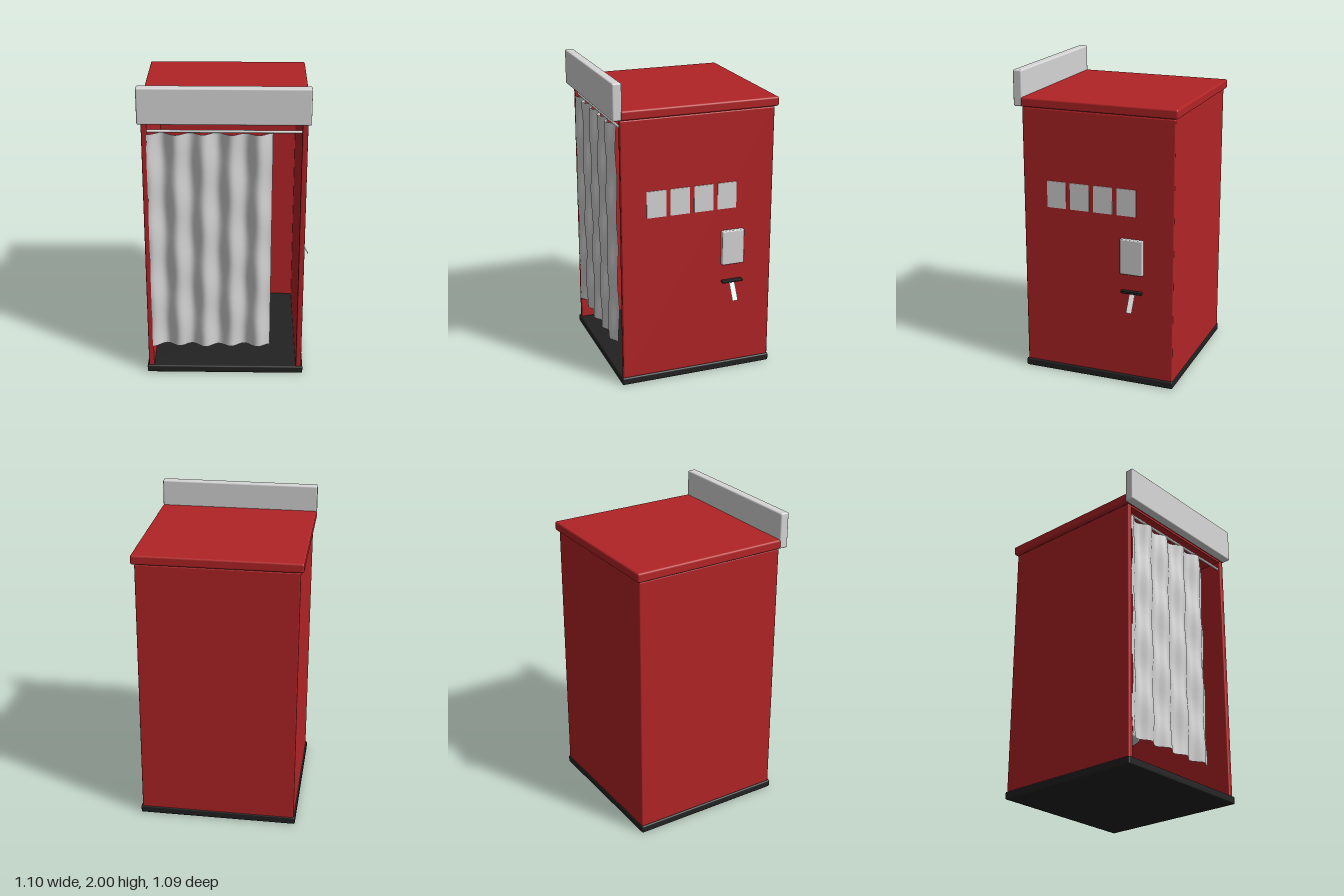
import * as THREE from 'three';
import { RoundedBoxGeometry } from 'three/addons/geometries/RoundedBoxGeometry.js';

const material = (name, color, extra = {}) => {
  const m = new THREE.MeshStandardMaterial({ color, ...extra });
  m.name = name;
  return m;
};

export function createModel() {
  const red = material('red paint', 0xb22426);
  const black = material('black plastic', 0x222222);
  const grey = material('light grey', 0xd6d6d6);
  const cloth = material('curtain cloth', 0xd4d4d4, { side: THREE.DoubleSide });
  const paper = material('white paper', 0xececec, { side: THREE.DoubleSide });

  const booth = new THREE.Group();
  booth.name = 'photoBooth';

  const add = (name, geometry, mat, x = 0, y = 0, z = 0) => {
    const mesh = new THREE.Mesh(geometry, mat);
    mesh.name = name;
    mesh.position.set(x, y, z);
    booth.add(mesh);
    return mesh;
  };
  // Box given by its limits on each axis, with softened edges
  const block = (name, mat, [x0, x1], [y0, y1], [z0, z1], r = 0.01) =>
    add(name, new RoundedBoxGeometry(x1 - x0, y1 - y0, z1 - z0, 2, r), mat,
      (x0 + x1) / 2, (y0 + y1) / 2, (z0 + z1) / 2);

  // Shell: base, three walls and roof, open at the front
  block('base', black, [-0.54, 0.49], [0, 0.05], [-0.53, 0.50]);
  block('rightWall', red, [-0.53, -0.495], [0.04, 1.765], [-0.525, 0.49], 0.008);
  block('leftWall', red, [0.445, 0.48], [0.04, 1.765], [-0.525, 0.49], 0.008);
  block('backWall', red, [-0.53, 0.48], [0.04, 1.765], [-0.525, -0.49], 0.008);
  block('roof', red, [-0.55, 0.50], [1.77, 1.83], [-0.545, 0.49], 0.012);
  block('roofInfill', red, [-0.52, 0.47], [1.755, 1.78], [-0.515, 0.48], 0.002);
  block('signBoard', grey, [-0.55, 0.497], [1.77, 2.0], [0.48, 0.54]);

  // Curtain rod and rippled curtain
  const rod = add('curtainRod', new THREE.CylinderGeometry(0.009, 0.009, 0.95, 12), grey, -0.025, 1.705, 0.468);
  rod.rotation.z = Math.PI / 2;

  const curtain = new THREE.PlaneGeometry(0.77, 1.49, 72, 24);
  const p = curtain.attributes.position;
  for (let i = 0; i < p.count; i++) {
    const x = p.getX(i), y = p.getY(i);
    const fold = Math.sin((x + 0.385) * 37 + 1.3);
    p.setZ(i, 0.021 * fold + 0.005 * Math.sin(x * 15 + y * 14.5));
  }
  curtain.computeVertexNormals();
  add('curtain', curtain, cloth, -0.115, 0.945, 0.472);

  // Stool
  add('stoolPost', new THREE.CylinderGeometry(0.02, 0.02, 0.38, 20), grey, -0.025, 0.235, -0.04);
  const seatProfile = [[0, 0.415], [0.13, 0.415], [0.14, 0.422], [0.14, 0.443], [0.13, 0.45], [0, 0.45]]
    .map(([r, y]) => new THREE.Vector2(r, y));
  add('stoolSeat', new THREE.LatheGeometry(seatProfile, 40), grey, -0.025, 0, -0.04);

  // Screen on the inside of the back wall
  block('screen', black, [-0.27, 0.22], [0.86, 1.13], [-0.495, -0.47], 0.005);

  // Sample pictures on the outer wall
  for (const z of [0.262, 0.105, -0.053, -0.21])
    add('samplePicture', new THREE.BoxGeometry(0.006, 0.174, 0.128), grey, 0.481, 1.216, z);

  // Payment box, print slot and hanging print
  block('paymentBox', grey, [0.475, 0.508], [0.75, 0.982], [-0.327, -0.175], 0.007);
  block('printSlot', black, [0.475, 0.508], [0.622, 0.638], [-0.32, -0.18], 0.004);
  const print = add('print', new THREE.PlaneGeometry(0.038, 0.127), paper, 0.517, 0.565, -0.253);
  print.rotation.set(0, Math.PI / 2, 0);
  print.rotateX(-0.52);

  return booth;
}
